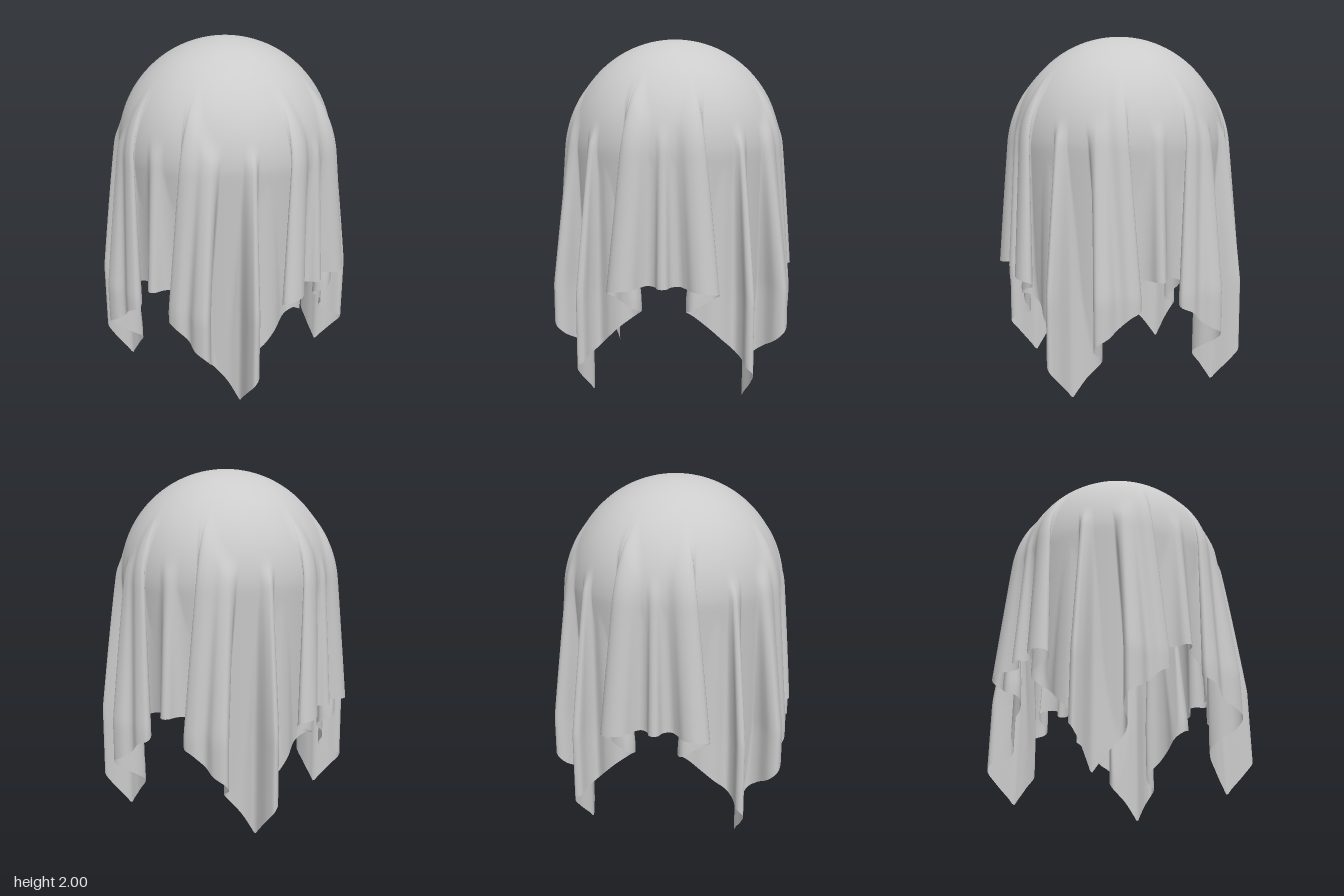
import * as THREE from 'three';

const R = 0.62, CY = 1.38;      // radius and centre height of the rounded crown
const CROWN = 34, SKIRT = 26;   // rows over the crown and down the skirt

// One quarter of the hem (x, y, z), from the front centre round to the left centre
const HEM = [
  [0, 0.675, 0.685], [0.025, 0.675, 0.675], [0.045, 0.675, 0.625], [0.09, 0.675, 0.605],
  // front pleat: out, back underneath, then on towards the corner
  [0.13, 0.67, 0.635], [0.17, 0.665, 0.68], [0.23, 0.66, 0.695], [0.29, 0.65, 0.67], [0.31, 0.64, 0.63],
  [0.27, 0.61, 0.605], [0.21, 0.585, 0.635], [0.15, 0.55, 0.64], [0.12, 0.53, 0.585],
  [0.16, 0.49, 0.54], [0.25, 0.42, 0.54], [0.31, 0.36, 0.52], [0.38, 0.28, 0.47],
  // corner fold and the lowest tip
  [0.42, 0.25, 0.51], [0.45, 0.22, 0.575], [0.485, 0.19, 0.575], [0.475, 0.12, 0.52], [0.435, 0.03, 0.448],
  [0.425, 0, 0.425], [0.428, 0.03, 0.402], [0.44, 0.11, 0.345], [0.48, 0.2, 0.275],
  // side pleat
  [0.54, 0.25, 0.29], [0.61, 0.31, 0.36], [0.66, 0.36, 0.365], [0.675, 0.4, 0.3], [0.655, 0.44, 0.24],
  [0.685, 0.5, 0.18], [0.675, 0.53, 0.115], [0.635, 0.55, 0.12], [0.605, 0.59, 0.19], [0.575, 0.63, 0.21],
  [0.575, 0.66, 0.15], [0.6, 0.68, 0.08], [0.635, 0.68, 0.045], [0.69, 0.68, 0.025], [0.705, 0.68, 0],
];

// Hem samples all round, each with the direction it takes from the crown
// and the height where its fold begins: high for the pleats, lower between them
function hemLoop(n = 160) {
  const curve = new THREE.CatmullRomCurve3(HEM.map(p => new THREE.Vector3(...p)), false, 'centripetal');
  curve.arcLengthDivisions = 800;
  const pts = curve.getSpacedPoints(n);
  let c = 0;
  pts.forEach((p, i) => { if (p.y < pts[c].y) c = i; });
  const quarter = pts.map((p, i) => {
    const a = Math.atan(i <= c ? i / c : (n - i) / (n - c));   // angle from the nearest axis
    const dir = i <= c ? a : Math.PI / 2 - a;
    const start = 1.56 + 0.3 * Math.exp(-(((a - 0.3) / 0.16) ** 2));
    return { x: p.x, y: Math.max(0, p.y), z: p.z, dx: Math.sin(dir), dz: Math.cos(dir), start };
  });
  const back = quarter.slice(0, -1).reverse().map(q => ({ ...q, z: -q.z, dz: -q.dz }));
  const half = [...quarter, ...back];
  const other = half.slice(1, -1).reverse().map(q => ({ ...q, x: -q.x, dx: -q.dx }));
  return [...half, ...other];
}

// Cloth lies on the crown, and its folds open gradually towards the hem
function clothPoint(q, row) {
  let y, r = R, inner;
  if (row <= CROWN) {
    const a = (row / CROWN) * Math.PI / 2;
    y = CY + R * Math.cos(a);
    r = inner = R * Math.sin(a);
  } else {
    y = THREE.MathUtils.lerp(CY, q.y, (row - CROWN) / SKIRT);
    inner = R * (1 - 0.14 * (CY - y) / CY);
  }
  const w = THREE.MathUtils.clamp((q.start - y) / (q.start - 0.6), 0, 1);
  const g = Math.pow(w, 0.85) * THREE.MathUtils.smoothstep(w, 0, 0.15);
  let x = q.dx * r + (q.x - q.dx * R) * g;
  let z = q.dz * r + (q.z - q.dz * R) * g;
  // never sink into the rounded form underneath
  const d = Math.hypot(x, z);
  if (d < inner) { x *= inner / d; z *= inner / d; }
  return [x, y, z];
}

export function createModel() {
  const loop = hemLoop(), n = loop.length, rows = CROWN + SKIRT;
  const pos = [0, CY + R, 0], index = [];
  for (let r = 1; r <= rows; r++) for (const q of loop) pos.push(...clothPoint(q, r));
  const id = (r, i) => 1 + (r - 1) * n + (i % n);
  for (let i = 0; i < n; i++) {
    index.push(0, id(1, i), id(1, i + 1));
    for (let r = 1; r < rows; r++) {
      const a = id(r, i), b = id(r + 1, i), c = id(r + 1, i + 1), d = id(r, i + 1);
      index.push(a, b, c, a, c, d);
    }
  }
  const geo = new THREE.BufferGeometry();
  geo.setAttribute('position', new THREE.Float32BufferAttribute(pos, 3));
  geo.setIndex(index);
  geo.computeVertexNormals();

  const cloth = new THREE.Mesh(geo, new THREE.MeshStandardMaterial({ color: 0xcccccc, side: THREE.DoubleSide }));
  cloth.name = 'drapedCloth';
  const group = new THREE.Group();
  group.name = 'clothOverBall';
  group.add(cloth);
  return group;
}
